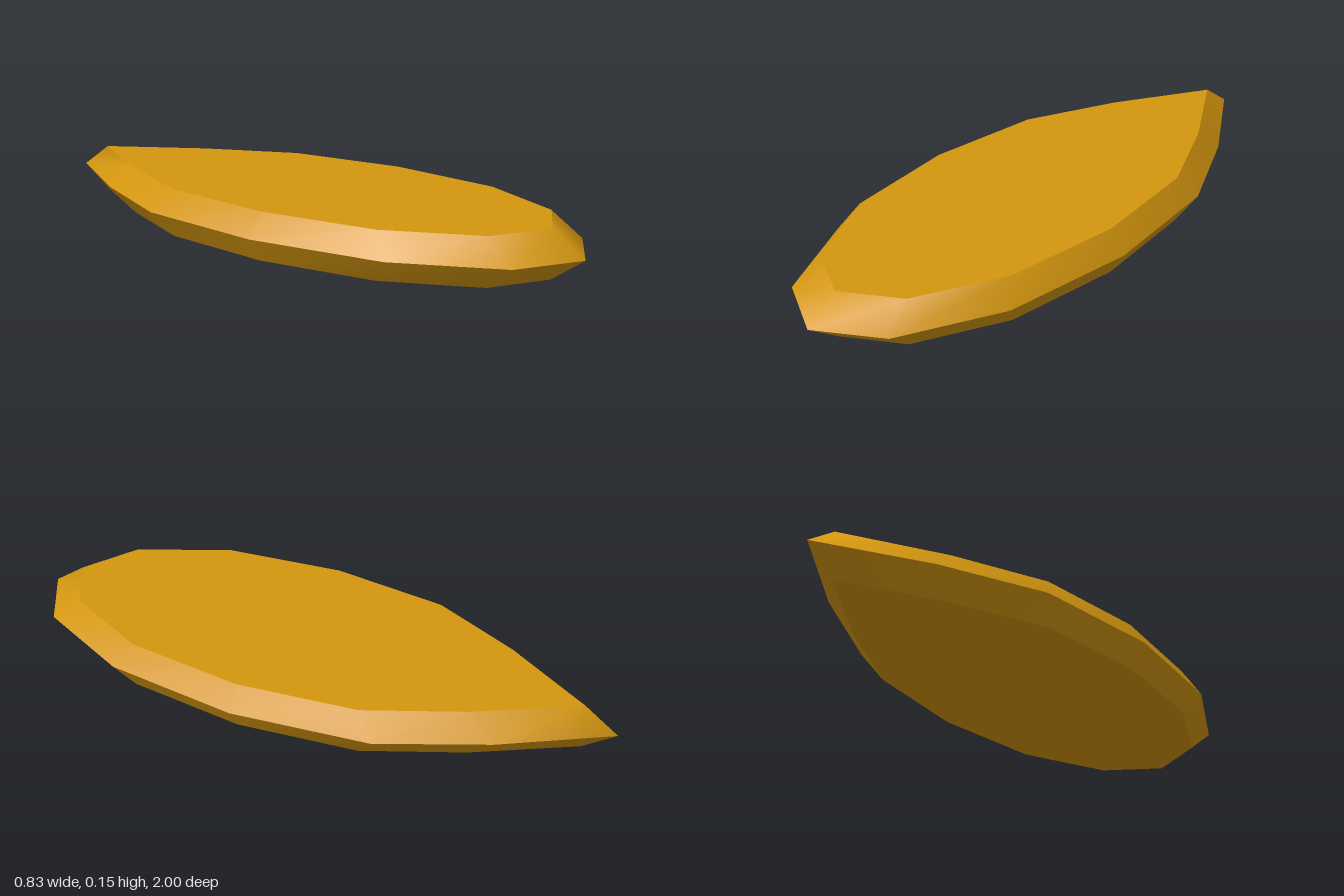
import * as THREE from 'three';

// Half outlines as [x, z], from back tip to front tip
const RIM = [[0, -1], [0.205, -0.68], [0.362, -0.35], [0.415, 0.1], [0.362, 0.55], [0.205, 0.88], [0, 1]];
const FACE = [[0, -0.89], [0.182, -0.59], [0.32, -0.29], [0.365, 0.1], [0.32, 0.495], [0.182, 0.785], [0, 0.89]];
const HEIGHT = 0.154;

// Mirror a half outline into a closed loop
const loop = (half) => [...half, ...half.slice(1, -1).reverse().map(([x, z]) => [-x, z])];

function build(points, index) {
  const geometry = new THREE.BufferGeometry();
  geometry.setAttribute('position', new THREE.Float32BufferAttribute(points.flat(), 3));
  geometry.setIndex(index);
  geometry.computeVertexNormals();
  return geometry;
}

// Sloping band between two loops, smooth around the outline
function band(lower, lowerY, upper, upperY) {
  const n = lower.length;
  const points = [...lower.map(([x, z]) => [x, lowerY, z]), ...upper.map(([x, z]) => [x, upperY, z])];
  const index = [];
  for (let i = 0; i < n; i++) {
    const j = (i + 1) % n;
    index.push(i, i + n, j, j, i + n, j + n);
  }
  return build(points, index);
}

// Flat face filling a loop
function cap(outline, y, up) {
  const n = outline.length;
  const points = [...outline.map(([x, z]) => [x, y, z]), [0, y, 0]];
  const index = [];
  for (let i = 0; i < n; i++) {
    const j = (i + 1) % n;
    index.push(n, ...(up ? [j, i] : [i, j]));
  }
  return build(points, index);
}

export function createModel() {
  const group = new THREE.Group();
  group.name = 'bevelledLeafPlate';
  const gold = new THREE.MeshStandardMaterial({ color: 0xd4960f });
  gold.name = 'gold';

  const rim = loop(RIM);
  const face = loop(FACE);
  const parts = {
    topFace: cap(face, HEIGHT, true),
    bottomFace: cap(face, 0, false),
    upperBevel: band(rim, HEIGHT / 2, face, HEIGHT),
    lowerBevel: band(face, 0, rim, HEIGHT / 2),
  };
  for (const [name, geometry] of Object.entries(parts)) {
    const mesh = new THREE.Mesh(geometry, gold);
    mesh.name = name;
    group.add(mesh);
  }
  return group;
}
